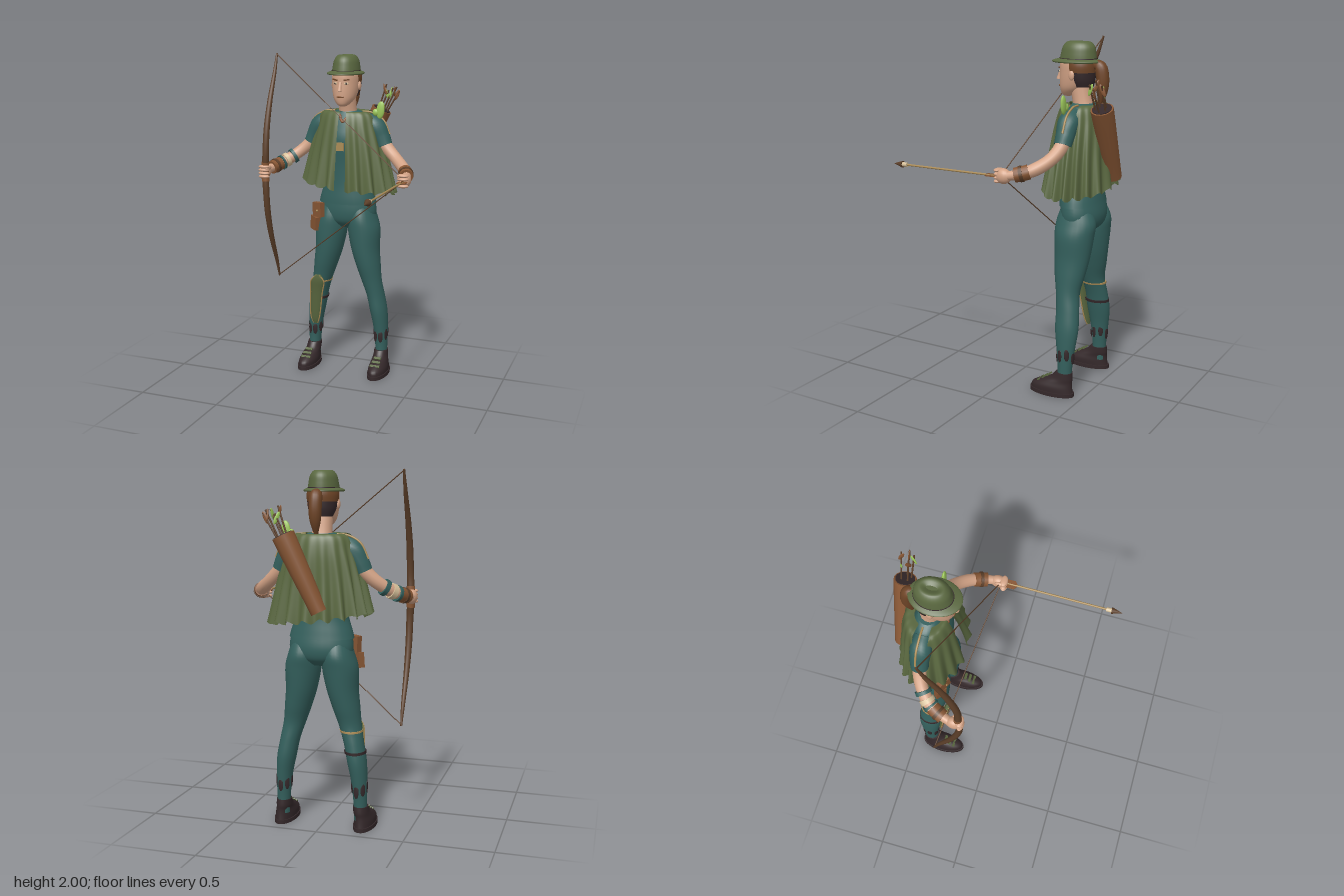
import * as THREE from 'three';

const V = (x, y, z) => new THREE.Vector3(x, y, z);
const mat = (name, color) => Object.assign(new THREE.MeshStandardMaterial({ color }), { name });

// Catmull-Rom value through a list of numbers, u from 0 to list.length - 1
function cr(list, u) {
  const n = list.length - 1, i = Math.min(Math.floor(u), n - 1), t = u - i;
  const p = k => list[Math.max(0, Math.min(n, k))];
  const a = p(i - 1), b = p(i), c = p(i + 1), d = p(i + 2);
  return 0.5 * (2 * b + (c - a) * t + (2 * a - 5 * b + 4 * c - d) * t * t + (3 * b - a - 3 * c + d) * t * t * t);
}

// Surface from rows of points; closed joins the last column to the first
function grid(rows, closed = true) {
  const w = rows[0].length, index = [];
  for (let i = 0; i < rows.length - 1; i++)
    for (let j = 0; j < (closed ? w : w - 1); j++) {
      const k = (j + 1) % w, a = i * w + j, b = i * w + k, c = a + w, d = b + w;
      index.push(a, b, c, b, d, c);
    }
  const g = new THREE.BufferGeometry().setFromPoints(rows.flat());
  g.setIndex(index);
  g.computeVertexNormals();
  return g;
}

// Flat end caps with a sharp rim
function capped(rows) {
  const flat = row => {
    const c = row.reduce((s, p) => s.add(p), V(0, 0, 0)).divideScalar(row.length);
    return row.map(() => c.clone());
  };
  const a = rows[0], b = rows[rows.length - 1];
  const body = grid(rows), ends = [grid([flat(a), a]), grid([b, flat(b)])];
  return [body, ...ends];
}

// Horizontal elliptical sections [cx, y, cz, rx, rz], listed bottom to top
function loftRows(rings, sub = 5, seg = 28) {
  const rows = [], n = (rings.length - 1) * sub;
  for (let i = 0; i <= n; i++) {
    const [cx, y, cz, rx, rz] = [0, 1, 2, 3, 4].map(k => cr(rings.map(r => r[k]), i / sub));
    rows.push(Array.from({ length: seg }, (_, j) => {
      const a = j / seg * Math.PI * 2;
      return V(cx + Math.sin(a) * rx, y, cz + Math.cos(a) * rz);
    }));
  }
  return rows;
}

// Round sections of varying radius along a curve, between u0 and u1
function tubeRows(pts, radii, ref = V(0, 1, 1), u0 = 0, u1 = 1, seg = 14) {
  const curve = new THREE.CatmullRomCurve3(pts.map(p => V(...p))), rows = [], n = pts.length * 5;
  for (let i = 0; i <= n; i++) {
    const u = u0 + (u1 - u0) * i / n, P = curve.getPoint(u), T = curve.getTangent(u);
    const N = ref.clone().cross(T).normalize(), B = T.clone().cross(N), r = cr(radii, u * (radii.length - 1));
    rows.push(Array.from({ length: seg }, (_, j) => {
      const a = j / seg * Math.PI * 2;
      return P.clone().addScaledVector(N, Math.cos(a) * r).addScaledVector(B, Math.sin(a) * r);
    }));
  }
  return rows;
}

export function createModel() {
  const root = new THREE.Group();
  root.name = 'archer';
  const teal = mat('teal cloth', 0x34605d), green = mat('olive felt', 0x5a6840), skin = mat('skin', 0xd3a386);
  const wood = mat('dark wood', 0x5c3f29), leather = mat('leather', 0x875634), hair = mat('brown hair', 0x6f4527);
  const dark = mat('dark leather', 0x34282a), tan = mat('tan trim', 0xa98a55);
  const leaf = mat('leaf green', 0x9cc75a), cream = mat('cream', 0xd6c09a);
  green.side = THREE.DoubleSide;

  const add = (name, geo, m) => {
    const mesh = new THREE.Mesh(geo, m);
    mesh.name = name;
    root.add(mesh);
    return mesh;
  };
  const solid = (name, m, rows) => capped(rows).forEach(g => add(name, g, m));
  const loft = (name, m, rings, sub) => solid(name, m, loftRows(rings, sub));
  const tube = (name, m, pts, radii, ref, u0, u1) => solid(name, m, tubeRows(pts, radii, ref, u0, u1));
  const blob = (name, m, p, s, r = [0, 0, 0]) => {
    const b = add(name, new THREE.SphereGeometry(1, 16, 12), m);
    b.position.set(...p); b.scale.set(...s); b.rotation.set(...r);
  };
  const box = (name, m, p, s, r = [0, 0, 0]) => {
    const b = add(name, new THREE.BoxGeometry(...s), m);
    b.position.set(...p); b.rotation.set(...r);
  };
  const rod = (name, m, a, b, r) => tube(name, m, [a, b], [r, r], V(1, 0, 0.3));

  // Trousers and shirt
  loft('pelvis', teal, [[0, 0.94, -0.38, 0.07, 0.07], [0, 0.98, -0.383, 0.16, 0.108], [0, 1.04, -0.383, 0.182, 0.12], [0, 1.12, -0.378, 0.168, 0.112]]);
  loft('shirt', teal, [[0, 1.09, -0.377, 0.184, 0.12], [0, 1.13, -0.374, 0.174, 0.116], [0, 1.22, -0.37, 0.148, 0.106], [0, 1.34, -0.368, 0.142, 0.105],
    [0, 1.48, -0.365, 0.16, 0.112], [0, 1.57, -0.37, 0.155, 0.096], [0, 1.63, -0.372, 0.125, 0.075], [0, 1.66, -0.372, 0.075, 0.06]]);
  box('chestClasp', tan, [-0.01, 1.45, -0.25], [0.05, 0.05, 0.012]);
  tube('neckTie', leather, [[-0.03, 1.64, -0.3], [0, 1.6, -0.27], [0.03, 1.64, -0.3]], [0.008, 0.008, 0.008], V(0, 0, 1));

  // Head
  tube('neck', skin, [[0, 1.58, -0.38], [0, 1.66, -0.365], [0, 1.78, -0.34]], [0.066, 0.055, 0.055], V(1, 0, 0));
  loft('head', skin, [[0, 1.695, -0.272, 0.022, 0.024], [0, 1.71, -0.286, 0.042, 0.05], [0, 1.74, -0.305, 0.064, 0.076], [0, 1.78, -0.32, 0.076, 0.093],
    [0, 1.83, -0.33, 0.082, 0.102], [0, 1.88, -0.332, 0.082, 0.102], [0, 1.93, -0.335, 0.07, 0.09]]);
  loft('hair', hair, [[0, 1.83, -0.352, 0.086, 0.088], [0, 1.87, -0.35, 0.088, 0.092], [0, 1.92, -0.345, 0.076, 0.088]]);
  loft('hairUndercut', dark, [[0, 1.75, -0.368, 0.06, 0.055], [0, 1.79, -0.362, 0.077, 0.07], [0, 1.84, -0.357, 0.085, 0.078]]);
  tube('ponytail', hair, [[0, 1.87, -0.42], [0, 1.865, -0.465], [0, 1.81, -0.483], [0, 1.73, -0.483], [0, 1.64, -0.465]], [0.02, 0.034, 0.036, 0.03, 0.008], V(1, 0, 0));
  tube('nose', skin, [[0, 1.84, -0.23], [0, 1.805, -0.218], [0, 1.785, -0.214]], [0.009, 0.011, 0.014], V(1, 0, 0));
  blob('lips', leather, [0, 1.752, -0.226], [0.024, 0.006, 0.005]);
  for (const s of [-1, 1]) {
    blob('eye', cream, [s * 0.035, 1.832, -0.237], [0.014, 0.007, 0.004], [0, s * 0.4, 0]);
    blob('iris', dark, [s * 0.035, 1.832, -0.234], [0.006, 0.006, 0.004]);
    box('eyebrow', hair, [s * 0.036, 1.853, -0.235], [0.036, 0.008, 0.008], [0, s * 0.4, s * 0.15]);
    blob('ear', skin, [s * 0.084, 1.815, -0.335], [0.01, 0.027, 0.017]);
  }

  // Felt hat with a dented crown
  loft('hatCrown', green, [[0, 1.89, -0.333, 0.085, 0.108], [0, 1.93, -0.335, 0.08, 0.102], [0, 1.97, -0.337, 0.07, 0.092], [0, 1.996, -0.337, 0.045, 0.064], [0, 1.982, -0.337, 0.012, 0.03]]);
  loft('hatBrim', green, [[0, 1.886, -0.325, 0.08, 0.1], [0, 1.882, -0.325, 0.104, 0.138], [0, 1.892, -0.325, 0.108, 0.142], [0, 1.905, -0.33, 0.08, 0.1]], 4);
  loft('hatBand', dark, [[0, 1.895, -0.333, 0.087, 0.11], [0, 1.906, -0.333, 0.0855, 0.1085]], 1);

  // Pleated cape, open in front, with armholes at the sides
  const rx = [0.085, 0.165, 0.2, 0.245, 0.285], zf = [0.075, 0.105, 0.135, 0.16, 0.185];
  const zb = [0.08, 0.125, 0.15, 0.165, 0.185], cy = [1.655, 1.652, 1.56, 1.39, 1.195];
  const capeRows = [];
  for (let i = 0; i <= 24; i++) {
    capeRows.push(Array.from({ length: 241 }, (_, j) => {
      const a = 0.13 + j / 240 * (Math.PI * 2 - 0.26), sx = Math.sin(a), cz = Math.cos(a);
      const v0 = 0.5 * THREE.MathUtils.smoothstep(Math.abs(sx), 0.88, 0.98);
      const v = v0 + (1 - v0) * i / 24, u = v * 4;
      const fold = 1 + 0.075 * v * v * Math.sin(19 * a + 0.8 * Math.sin(3 * a));
      const z = cr(cz > 0 ? zf : zb, u);
      return V(sx * cr(rx, u) * fold + 0.01 * v, cr(cy, u) - 0.03 * sx * v * v + 0.012 * v * v * Math.sin(19 * a + 1), -0.37 + cz * z * fold);
    }));
  }
  add('cape', grid(capeRows.reverse(), false), green);

  for (const s of [-1, 1]) {
    // Legs, torn ankles and shoes
    const leg = [[0.228, 0.06, -0.388, 0.036, 0.042], [0.228, 0.13, -0.388, 0.037, 0.042], [0.226, 0.2, -0.39, 0.04, 0.045], [0.22, 0.3, -0.39, 0.046, 0.058],
      [0.207, 0.4, -0.388, 0.054, 0.07], [0.188, 0.5, -0.382, 0.056, 0.068], [0.163, 0.6, -0.37, 0.064, 0.07], [0.14, 0.7, -0.37, 0.077, 0.09],
      [0.12, 0.8, -0.373, 0.088, 0.105], [0.108, 0.92, -0.378, 0.1, 0.116], [0.098, 1.0, -0.383, 0.088, 0.118], [0.09, 1.08, -0.38, 0.07, 0.09]];
    loft('leg', teal, leg.map(([x, ...r]) => [s * x, ...r]));
    for (let k = 0; k < 7; k++) {
      const a = k * 0.9 + 0.3;
      blob('trouserTear', dark, [s * 0.223 + Math.sin(a) * 0.042, 0.245 + 0.012 * (k % 3 - 1), -0.39 + Math.cos(a) * 0.05], [0.015, 0.038, 0.0045], [0, a, 0]);
    }
    const shoe = r => r.map(([x, ...q]) => [s * x, ...q]);
    loft('sole', dark, shoe([[0.236, 0, -0.31, 0.062, 0.14], [0.236, 0.022, -0.31, 0.062, 0.14]]), 1);
    loft('shoe', dark, shoe([[0.236, 0.02, -0.31, 0.056, 0.132], [0.235, 0.05, -0.312, 0.056, 0.126], [0.233, 0.08, -0.338, 0.049, 0.098], [0.23, 0.105, -0.37, 0.045, 0.068], [0.228, 0.14, -0.385, 0.043, 0.05]]));
    for (let k = 0; k < 3; k++) box('shoeStrap', green, [s * 0.234, 0.073 + k * 0.017, -0.234 - k * 0.028], [0.062 - k * 0.008, 0.008, 0.016], [0.6, 0, 0]);

    // Sleeves, arms, bracers and fists
    const at = list => list.map(([x, y, z]) => [s * x, y, z]);
    tube('sleeve', teal, at([[0.11, 1.6, -0.37], [0.175, 1.57, -0.37], [0.215, 1.505, -0.37], [0.237, 1.455, -0.367]]), [0.055, 0.061, 0.054, 0.05]);
    tube('shoulderTrim', tan, at([[0.09, 1.656, -0.38], [0.15, 1.651, -0.38], [0.222, 1.61, -0.38], [0.265, 1.525, -0.378]]), [0.006, 0.006, 0.006, 0.006]);
    const arm = at([[0.2, 1.53, -0.37], [0.25, 1.45, -0.365], [0.32, 1.385, -0.335], [0.39, 1.335, -0.27], [0.43, 1.31, -0.19], [0.445, 1.3, -0.14]]);
    const cuff = (name, m, u0, u1, r) => tube(name, m, arm, Array(6).fill(r), undefined, u0, u1);
    tube('arm', skin, arm, [0.04, 0.039, 0.036, 0.036, 0.028, 0.026]);
    cuff('bracer', leather, 0.65, 0.83, 0.041);
    cuff('bracerBand', wood, 0.72, 0.76, 0.045);
    if (s < 0) {
      cuff('bracelet', teal, 0.44, 0.48, 0.047);
      cuff('bracelet', cream, 0.53, 0.58, 0.044);
      cuff('bracelet', teal, 0.61, 0.64, 0.046);
    }
    blob('fist', skin, [s * 0.445, 1.297, -0.117], [0.034, 0.042, 0.048]);
    for (let k = 0; k < 4; k++) blob('finger', skin, [s * 0.44, 1.328 - k * 0.02, -0.083], [0.036, 0.0115, 0.022]);
    blob('thumb', skin, [s * 0.418, 1.32, -0.1], [0.013, 0.015, 0.034]);
  }

  // Bow, drawn string and nocked arrow
  const limb = [[0.705, -0.28], [0.6, -0.243], [0.42, -0.163], [0.26, -0.113], [0.12, -0.093]];
  const bowPts = [...limb.map(([y, z]) => [-0.432, 1.295 + y, z]), [-0.438, 1.295, -0.098], ...limb.slice().reverse().map(([y, z]) => [-0.432, 1.295 - y, z])];
  tube('bow', wood, bowPts, [0.006, 0.011, 0.016, 0.019, 0.02, 0.022, 0.02, 0.019, 0.016, 0.011, 0.006], V(1, 0, 0));
  tube('bowGrip', leather, bowPts, Array(11).fill(0.024), V(1, 0, 0), 0.45, 0.55);
  for (const y of [1.995, 0.595]) rod('bowString', wood, [-0.432, y, -0.278], [0.445, 1.297, -0.1], 0.003);
  rod('arrowShaft', tan, [0.447, 1.296, -0.1], [0.447, 1.296, 0.57], 0.006);
  rod('arrowCollar', cream, [0.447, 1.296, 0.525], [0.447, 1.296, 0.558], 0.013);
  const tip = add('arrowHead', new THREE.ConeGeometry(0.02, 0.064, 12), wood);
  tip.position.set(0.447, 1.296, 0.588); tip.rotation.x = Math.PI / 2;
  for (const r of [0, Math.PI / 2]) {
    const vane = new THREE.Shape([[0, 0], [0.026, 0.02], [0.026, 0.07], [0, 0.09], [-0.026, 0.07], [-0.026, 0.02]].map(p => new THREE.Vector2(...p)));
    const f = add('arrowFletching', new THREE.ExtrudeGeometry(vane, { depth: 0.004, bevelEnabled: false }), leather);
    f.position.set(0.447, 1.296, -0.09); f.rotation.set(Math.PI / 2, r, 0); f.scale.x = r ? 0.35 : 1;
  }

  // Quiver and spare arrows on the back
  const q0 = V(-0.04, 1.25, -0.545), q1 = V(0.155, 1.655, -0.557);
  tube('quiver', leather, [q0.toArray(), q0.clone().lerp(q1, 0.5).toArray(), q1.toArray()], [0.046, 0.055, 0.063], V(1, 0, 0));
  rod('quiverMouth', dark, q1.toArray(), q1.clone().lerp(q0, -0.008).toArray(), 0.054);
  for (let k = 0; k < 5; k++) {
    const a = k * 1.26, b = V(0.16 + 0.03 * Math.cos(a), 1.64, -0.557 + 0.03 * Math.sin(a));
    const e = b.clone().add(V(0.065 + 0.012 * Math.cos(a), 0.13 + 0.02 * (k % 3), 0.008 * Math.sin(a)));
    rod('spareArrow', wood, b.toArray(), e.toArray(), 0.005);
    blob('spareFletching', k % 2 ? leaf : leather, b.clone().lerp(e, 0.82).toArray(), [0.012, 0.036, 0.005], [0, a, -0.42]);
  }
  blob('shoulderLeaf', leaf, [0.212, 1.67, -0.355], [0.026, 0.054, 0.012], [0, 0, -0.12]);
  blob('shoulderLeaf', leaf, [0.182, 1.655, -0.355], [0.02, 0.022, 0.014]);

  // Hip pouches
  box('hipPouch', leather, [-0.16, 1.045, -0.278], [0.075, 0.09, 0.035], [0, -0.5, 0.05]);
  box('hipPouch', leather, [-0.188, 0.955, -0.295], [0.065, 0.085, 0.035], [0, -0.7, -0.12]);
  blob('pouchButton', tan, [-0.163, 1.04, -0.258], [0.007, 0.007, 0.005]);

  // Shin sheath and its straps
  loft('shinSheath', green, [[-0.2, 0.28, -0.326, 0.014, 0.008], [-0.198, 0.33, -0.318, 0.03, 0.014], [-0.18, 0.5, -0.296, 0.04, 0.018], [-0.168, 0.58, -0.28, 0.044, 0.018], [-0.163, 0.62, -0.272, 0.02, 0.012]]);
  for (const s of [-1, 1])
    tube('sheathTrim', tan, [[-0.2 + s * 0.014, 0.28, -0.324], [-0.198 + s * 0.03, 0.33, -0.312], [-0.18 + s * 0.04, 0.5, -0.289], [-0.168 + s * 0.043, 0.58, -0.274], [-0.163 + s * 0.01, 0.62, -0.266]], [0.004, 0.004, 0.004, 0.004, 0.004], V(1, 0, 0));
  loft('sheathStrap', dark, [[-0.197, 0.445, -0.383, 0.06, 0.075], [-0.195, 0.46, -0.383, 0.061, 0.075]], 1);
  loft('sheathStrap', tan, [[-0.172, 0.565, -0.374, 0.064, 0.074], [-0.17, 0.575, -0.373, 0.065, 0.074]], 1);
  return root;
}
